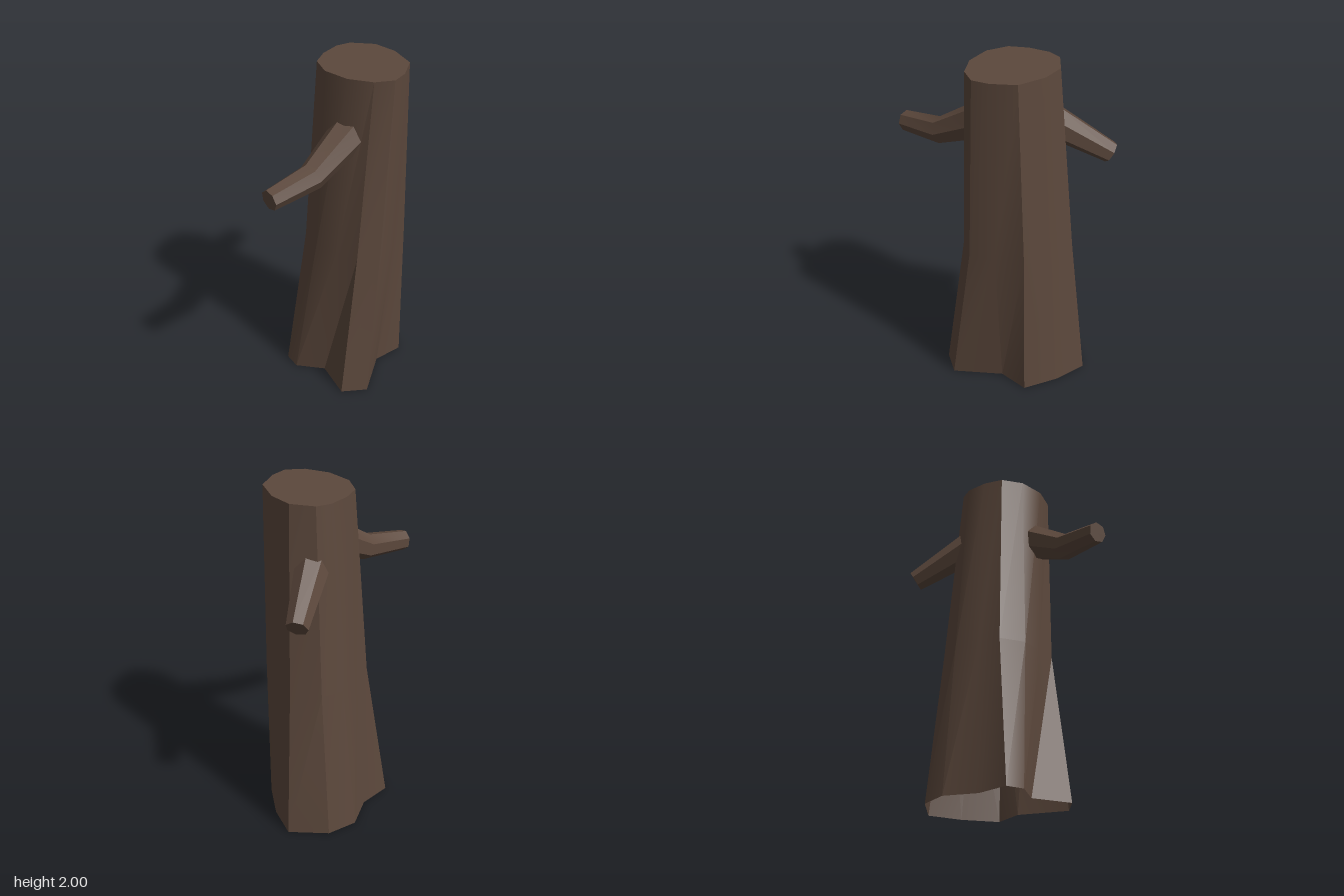
import * as THREE from 'three';
import { toCreasedNormals } from 'three/addons/utils/BufferGeometryUtils.js';

// Skin a series of rings (arrays of Vector3), closing the last one with a fan
function loft(rings, crease) {
  const pos = [];
  const tri = (...pts) => pts.forEach((p) => pos.push(p.x, p.y, p.z));
  const n = rings[0].length;
  for (let k = 0; k < rings.length - 1; k++) {
    for (let i = 0; i < n; i++) {
      const j = (i + 1) % n;
      const [a, b, c, d] = [rings[k][i], rings[k][j], rings[k + 1][i], rings[k + 1][j]];
      tri(a, c, b);
      tri(b, c, d);
    }
  }
  const end = rings[rings.length - 1];
  const centre = end.reduce((s, p) => s.add(p), new THREE.Vector3()).divideScalar(n);
  for (let i = 0; i < n; i++) tri(centre, end[(i + 1) % n], end[i]);
  const geometry = new THREE.BufferGeometry();
  geometry.setAttribute('position', new THREE.Float32BufferAttribute(pos, 3));
  return toCreasedNormals(geometry, crease);
}

// Outline of the trunk at height y, from [x, z] pairs
const level = (y, outline) => outline.map(([x, z]) => new THREE.Vector3(x, y, z));

// Rings around a bent path of [x, y, z, radius] stations
function branchRings(stations, sides) {
  const pts = stations.map(([x, y, z]) => new THREE.Vector3(x, y, z));
  const up = new THREE.Vector3(0, 1, 0);
  return pts.map((p, k) => {
    const before = pts[Math.max(k - 1, 0)];
    const after = pts[Math.min(k + 1, pts.length - 1)];
    const along = after.clone().sub(before).normalize();
    const u = along.clone().cross(up).normalize();
    const w = u.clone().cross(along);
    return Array.from({ length: sides }, (_, i) => {
      const a = ((i + 0.5) / sides) * Math.PI * 2;
      const r = stations[k][3];
      return p.clone().addScaledVector(u, r * Math.cos(a)).addScaledVector(w, r * Math.sin(a));
    });
  });
}

export function createModel() {
  const group = new THREE.Group();
  const bark = new THREE.MeshStandardMaterial({ color: 0x5c483c, side: THREE.DoubleSide });
  bark.name = 'bark';
  const add = (name, geometry) => {
    const mesh = new THREE.Mesh(geometry, bark);
    mesh.name = name;
    group.add(mesh);
  };

  // Trunk: flared root outline, waist and cut top, open underneath
  const roots = level(0, [
    [-0.085, -0.54], [0.095, -0.445], [0.26, -0.3], [0.2, -0.125], [0.3, 0.155], [0.18, 0.255],
    [-0.025, 0.13], [-0.19, 0.2], [-0.285, 0.155], [-0.265, -0.04], [-0.34, -0.228], [-0.28, -0.4],
  ]);
  const waist = level(0.9, [
    [-0.045, -0.45], [0.125, -0.4], [0.27, -0.29], [0.295, -0.12], [0.3, 0.035], [0.2, 0.122],
    [0.065, 0.13], [-0.075, 0.13], [-0.205, 0.045], [-0.225, -0.085], [-0.252, -0.235], [-0.2, -0.36],
  ]);
  const top = level(2, [
    [0.005, -0.365], [0.145, -0.34], [0.29, -0.25], [0.34, -0.11], [0.34, -0.01], [0.26, 0.07],
    [0.12, 0.11], [-0.035, 0.087], [-0.14, 0.005], [-0.17, -0.105], [-0.165, -0.23], [-0.125, -0.305],
  ]);
  add('trunk', loft([roots, waist, top], 0.55));

  // Branch stubs, rooted inside the trunk
  add('frontBranch', loft(branchRings([
    [0.105, 1.68, 0, 0.115], [0.04, 1.5, 0.335, 0.078], [-0.04, 1.465, 0.612, 0.06],
  ], 7), 0.7));
  add('backBranch', loft(branchRings([
    [-0.07, 1.66, -0.26, 0.1], [-0.225, 1.445, -0.587, 0.062],
  ], 7), 0.7));

  return group;
}
